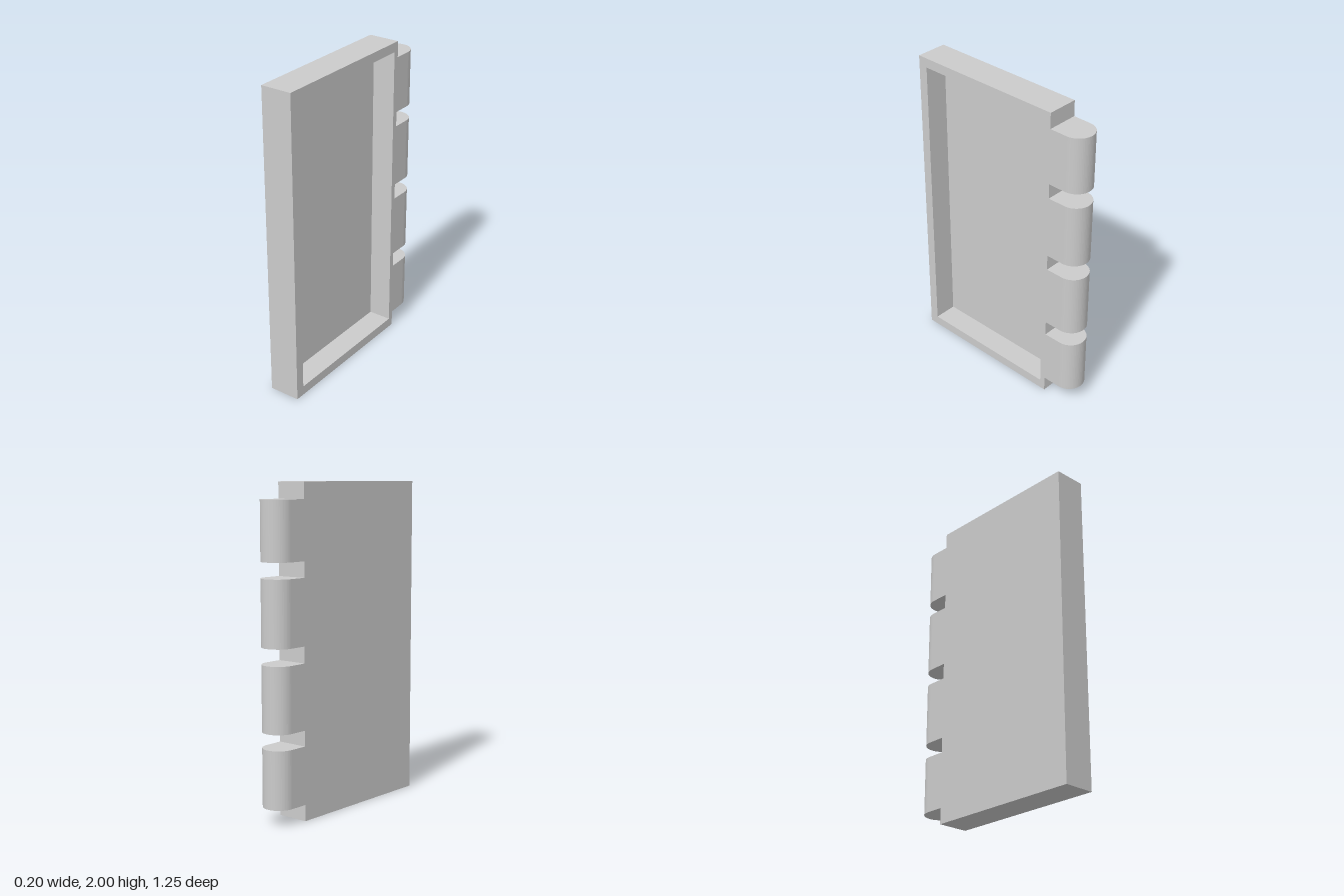
import * as THREE from 'three';

const HALF = 0.1;        // half thickness
const FRONT = 0.625;     // front edge, z
const BACK = -0.41;      // edge that carries the knuckles, z
const RIM = 0.06;        // rim around the recess, top, bottom and front
const FLOOR = 0.05;      // thickness of the panel behind the recess

const material = new THREE.MeshStandardMaterial({ color: 0xcccccc, flatShading: true });

function rect(path, x0, y0, x1, y1) {
  path.moveTo(x0, y0);
  path.lineTo(x1, y0);
  path.lineTo(x1, y1);
  path.lineTo(x0, y1);
  path.closePath();
  return path;
}

function addMesh(group, name, geometry) {
  const mesh = new THREE.Mesh(geometry, material);
  mesh.name = name;
  group.add(mesh);
  return mesh;
}

export function createModel() {
  const group = new THREE.Group();
  group.name = 'hingedPanel';

  // Rim around the recess, open to +x (shape x is -z)
  const rim = rect(new THREE.Shape(), -FRONT, 0, -BACK, 2);
  rim.holes.push(rect(new THREE.Path(), -FRONT + RIM, RIM, 0.375, 2 - RIM));
  const rimGeometry = new THREE.ExtrudeGeometry(rim, { depth: 2 * HALF - FLOOR, bevelEnabled: false });
  rimGeometry.rotateY(Math.PI / 2);
  addMesh(group, 'rim', rimGeometry).position.x = -HALF + FLOOR;

  // Closed panel on the -x side
  addMesh(group, 'panel', new THREE.BoxGeometry(FLOOR, 2, FRONT - BACK))
    .position.set(-HALF + FLOOR / 2, 1, (FRONT + BACK) / 2);

  // Hinge knuckles with a half-round back (shape y is -z)
  const profile = new THREE.Shape();
  profile.moveTo(-HALF, -BACK);
  profile.lineTo(HALF, -BACK);
  profile.lineTo(HALF, FRONT - HALF);
  profile.absarc(0, FRONT - HALF, HALF, 0, Math.PI, false);
  profile.closePath();
  const spans = [[0.1, 0.455], [0.55, 0.95], [1.05, 1.45], [1.545, 1.9]];
  spans.forEach(([y0, y1], i) => {
    const geometry = new THREE.ExtrudeGeometry(profile, {
      depth: y1 - y0, bevelEnabled: false, curveSegments: 16,
    });
    geometry.rotateX(-Math.PI / 2);
    addMesh(group, `hingeKnuckle${i + 1}`, geometry).position.y = y0;
  });

  return group;
}
